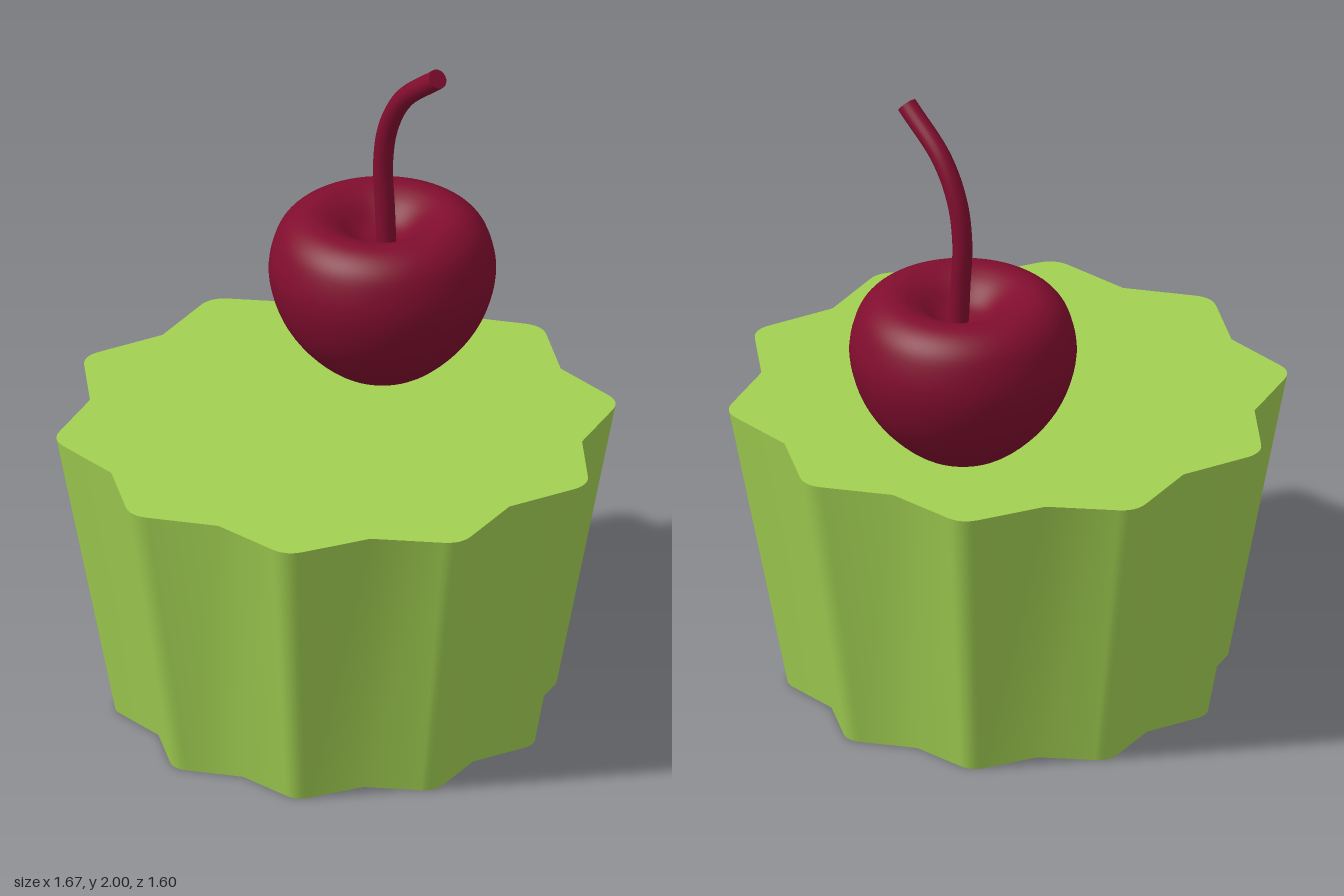
import * as THREE from 'three';

const TIPS = 10, HEIGHT = 0.92, BOTTOM_SCALE = 0.79;

// Ten-pointed outline with crisp valleys and softly rounded tips
function outline() {
  const polar = (r, a) => new THREE.Vector2(r * Math.cos(a), r * Math.sin(a));
  const step = (Math.PI * 2) / TIPS;
  const pts = [];
  for (let i = 0; i < TIPS; i++) {
    const a = i * step;
    const tip = polar(0.85, a);
    const before = polar(0.74, a - step / 2);
    const after = polar(0.74, a + step / 2);
    const curve = new THREE.QuadraticBezierCurve(
      tip.clone().lerp(before, 0.2), tip, tip.clone().lerp(after, 0.2));
    pts.push(before, ...curve.getPoints(6));
  }
  return pts;
}

// Tapered fluted wall between the bottom and top outlines
function wallGeometry(pts) {
  const n = pts.length, pos = [], index = [];
  for (const p of pts) {
    pos.push(p.x * BOTTOM_SCALE, 0, p.y * BOTTOM_SCALE, p.x, HEIGHT, p.y);
  }
  for (let i = 0; i < n; i++) {
    const a = 2 * i, b = 2 * ((i + 1) % n);
    index.push(a, a + 1, b, b, a + 1, b + 1);
  }
  const g = new THREE.BufferGeometry();
  g.setAttribute('position', new THREE.Float32BufferAttribute(pos, 3));
  g.setIndex(index);
  g.computeVertexNormals();
  return g;
}

export function createModel() {
  const model = new THREE.Group();
  const green = new THREE.MeshStandardMaterial({ color: 0xa2d052 });
  green.name = 'lime green';
  const red = new THREE.MeshStandardMaterial({ color: 0x800d2e });
  red.name = 'cherry red';

  const add = (parent, name, geometry, material) => {
    const mesh = new THREE.Mesh(geometry, material);
    mesh.name = name;
    parent.add(mesh);
    return mesh;
  };

  // Fluted cake base: wall plus flat top and bottom
  const base = new THREE.Group();
  base.name = 'base';
  model.add(base);
  const pts = outline();
  add(base, 'baseWall', wallGeometry(pts), green);
  const cap = new THREE.ShapeGeometry(new THREE.Shape(pts));
  const top = add(base, 'baseTop', cap, green);
  top.rotation.x = -Math.PI / 2;
  top.position.y = HEIGHT;
  const bottom = add(base, 'baseBottom', cap, green);
  bottom.rotation.x = Math.PI / 2;
  bottom.scale.set(BOTTOM_SCALE, BOTTOM_SCALE, 1);

  // Cherry body: rounded, with a dimple on top
  const cherry = new THREE.Group();
  cherry.name = 'cherry';
  cherry.position.set(0.34, 0, -0.155);
  model.add(cherry);
  const profile = new THREE.SplineCurve([
    [0, 0.895], [0.12, 0.915], [0.225, 0.995], [0.302, 1.105], [0.337, 1.235],
    [0.318, 1.345], [0.275, 1.405], [0.21, 1.43], [0.14, 1.407], [0.07, 1.355], [0, 1.335],
  ].map(([r, y]) => new THREE.Vector2(r, y))).getPoints(50);
  profile.forEach((p) => { p.x = Math.max(p.x, 0); });
  add(cherry, 'cherryBody', new THREE.LatheGeometry(profile, 64), red);

  // Stem: a thin tube bending forward, closed at the tip
  const path = new THREE.CatmullRomCurve3([
    [1.32, 0.018], [1.45, 0.011], [1.6, 0.003], [1.73, 0.025], [1.85, 0.09], [1.975, 0.237],
  ].map(([y, z]) => new THREE.Vector3(0, y, z)));
  add(cherry, 'stem', new THREE.TubeGeometry(path, 40, 0.03, 20), red);
  const tip = add(cherry, 'stemTip', new THREE.CircleGeometry(0.03, 20), red);
  tip.position.copy(path.getPoint(1));
  tip.quaternion.setFromUnitVectors(new THREE.Vector3(0, 0, 1), path.getTangent(1));

  return model;
}
